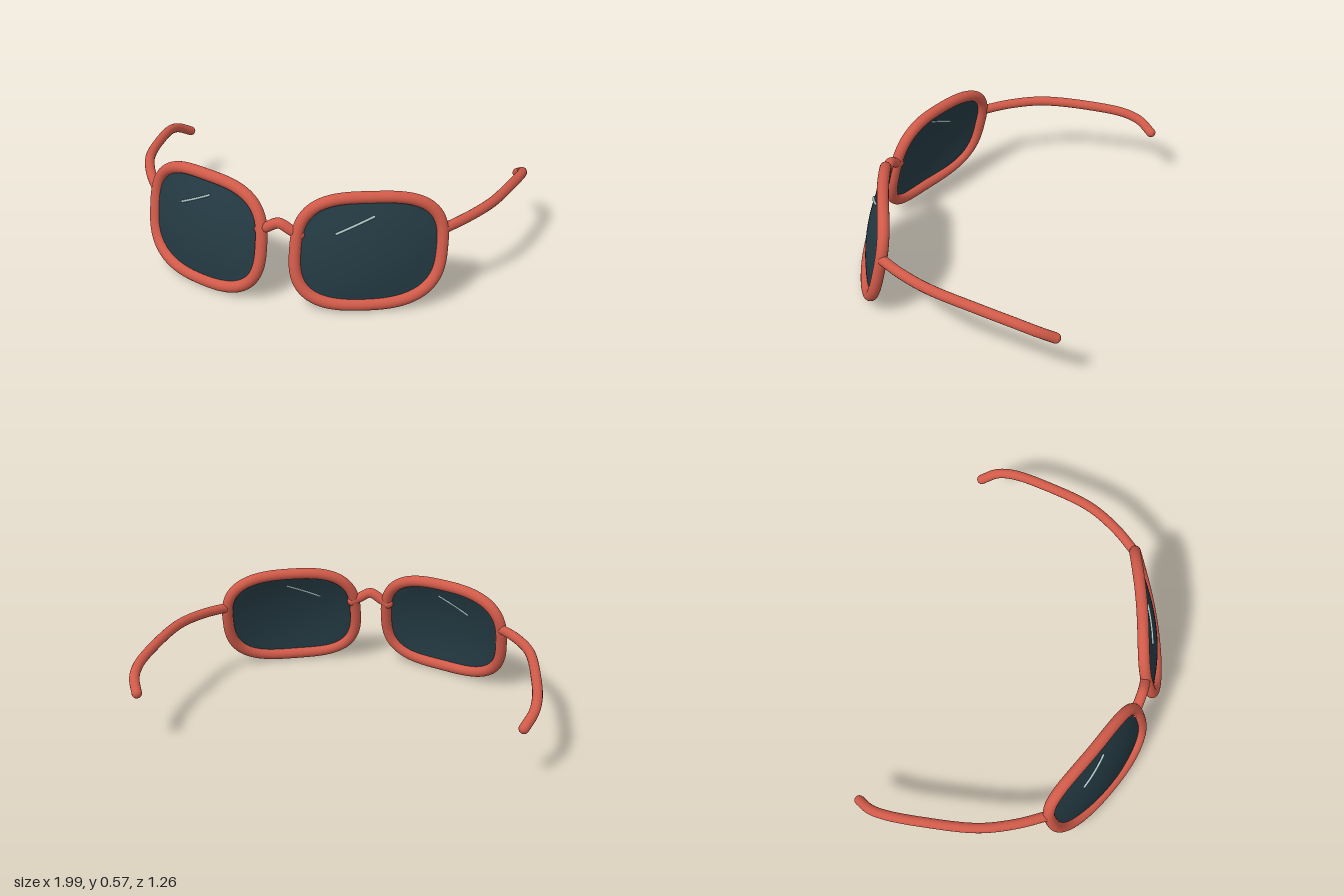
import * as THREE from 'three';

const CX = 0.41, CY = 0.29, RX = 0.325, RY = 0.257, RIM = 0.029, ARM = 0.025;

const frameRed = new THREE.MeshStandardMaterial({ color: 0xd05a49 });
frameRed.name = 'frame red';
const lensDark = new THREE.MeshStandardMaterial({ color: 0x243a43, side: THREE.DoubleSide });
lensDark.name = 'lens dark teal';
const glintPale = new THREE.MeshStandardMaterial({ color: 0xa6c2c4 });
glintPale.name = 'glint pale';

// Wrapped, tilted face of the glasses; u runs outward from the lens centre, v upward
const faceZ = (u, v) => 0.47 - 0.385 * u - 0.28 * u * u - 0.22 * v;

// Lens surface adds a gentle forward bulge
const lensZ = (u, v) => faceZ(u, v) + 0.038 * Math.max(0, 1 - (u / RX) ** 2 - (v / RY) ** 2);

// Rounded-square outline (superellipse)
function outline(t) {
  const p = (c) => Math.sign(c) * Math.abs(c) ** (2 / 2.9);
  return [RX * p(Math.cos(t)), RY * p(Math.sin(t))];
}

function add(parent, name, geometry, material) {
  const mesh = new THREE.Mesh(geometry, material);
  mesh.name = name;
  parent.add(mesh);
  return mesh;
}

// Round rod through points, with ball ends
function rod(name, points, radius, material, segments = 48) {
  const group = new THREE.Group();
  group.name = name;
  const curve = new THREE.CatmullRomCurve3(points.map((p) => new THREE.Vector3(...p)));
  add(group, name + 'Rod', new THREE.TubeGeometry(curve, segments, radius, 16), material);
  for (const t of [0, 1]) {
    const end = add(group, name + 'End', new THREE.SphereGeometry(radius, 16, 12), material);
    end.position.copy(curve.getPoint(t));
  }
  return group;
}

// Closed tube around the lens
function rimGeometry(s) {
  const points = [];
  for (let i = 0; i < 64; i++) {
    const [u, v] = outline((i / 64) * Math.PI * 2);
    points.push(new THREE.Vector3(s * (CX + u), CY + v, faceZ(u, v)));
  }
  const curve = new THREE.CatmullRomCurve3(points, true);
  return new THREE.TubeGeometry(curve, 128, RIM, 20, true);
}

// Concentric rings fanned out from the lens centre
function lensGeometry(s) {
  const rings = 10, n = 64;
  const pos = [s * CX, CY, lensZ(0, 0)], index = [];
  const tri = (a, b, c) => (s > 0 ? index.push(a, b, c) : index.push(a, c, b));
  for (let r = 1; r <= rings; r++) {
    for (let i = 0; i < n; i++) {
      const [u, v] = outline((i / n) * Math.PI * 2).map((c) => (c * r) / rings);
      pos.push(s * (CX + u), CY + v, lensZ(u, v));
      const j = (i + 1) % n, o = 1 + (r - 1) * n, q = o - n;
      if (r === 1) tri(0, o + i, o + j);
      else {
        tri(q + i, o + i, o + j);
        tri(q + i, o + j, q + j);
      }
    }
  }
  const g = new THREE.BufferGeometry();
  g.setAttribute('position', new THREE.Float32BufferAttribute(pos, 3));
  g.setIndex(index);
  g.computeVertexNormals();
  return g;
}

export function createModel() {
  const model = new THREE.Group();
  model.name = 'sunglasses';

  for (const s of [1, -1]) {
    const side = s > 0 ? 'left' : 'right';
    add(model, side + 'Rim', rimGeometry(s), frameRed);
    add(model, side + 'Lens', lensGeometry(s), lensDark);

    // Slanted reflection, leaning the same way on both lenses
    const glint = [];
    for (let i = 0; i <= 6; i++) {
      const dx = -0.135 + (0.16 * i) / 6, v = 0.097 + (0.077 * i) / 6;
      glint.push([s * CX + dx, CY + v, lensZ(s * dx, v) + 0.003]);
    }
    model.add(rod(side + 'Glint', glint, 0.006, glintPale, 12));

    // Arm sweeping back, with the tip hooked down and inward
    model.add(rod(side + 'Arm', [
      [s * 0.735, 0.375, 0.295], [s * 0.82, 0.388, 0.17], [s * 0.9, 0.395, 0.0],
      [s * 0.952, 0.383, -0.26], [s * 0.972, 0.362, -0.45], [s * 0.963, 0.335, -0.54],
      [s * 0.928, 0.292, -0.613],
    ], ARM, frameRed));
  }

  // Arched nose bridge
  model.add(rod('bridge', [
    [-0.1, 0.365, 0.54], [-0.06, 0.385, 0.547], [0, 0.415, 0.551],
    [0.06, 0.385, 0.547], [0.1, 0.365, 0.54],
  ], 0.026, frameRed));

  return model;
}
